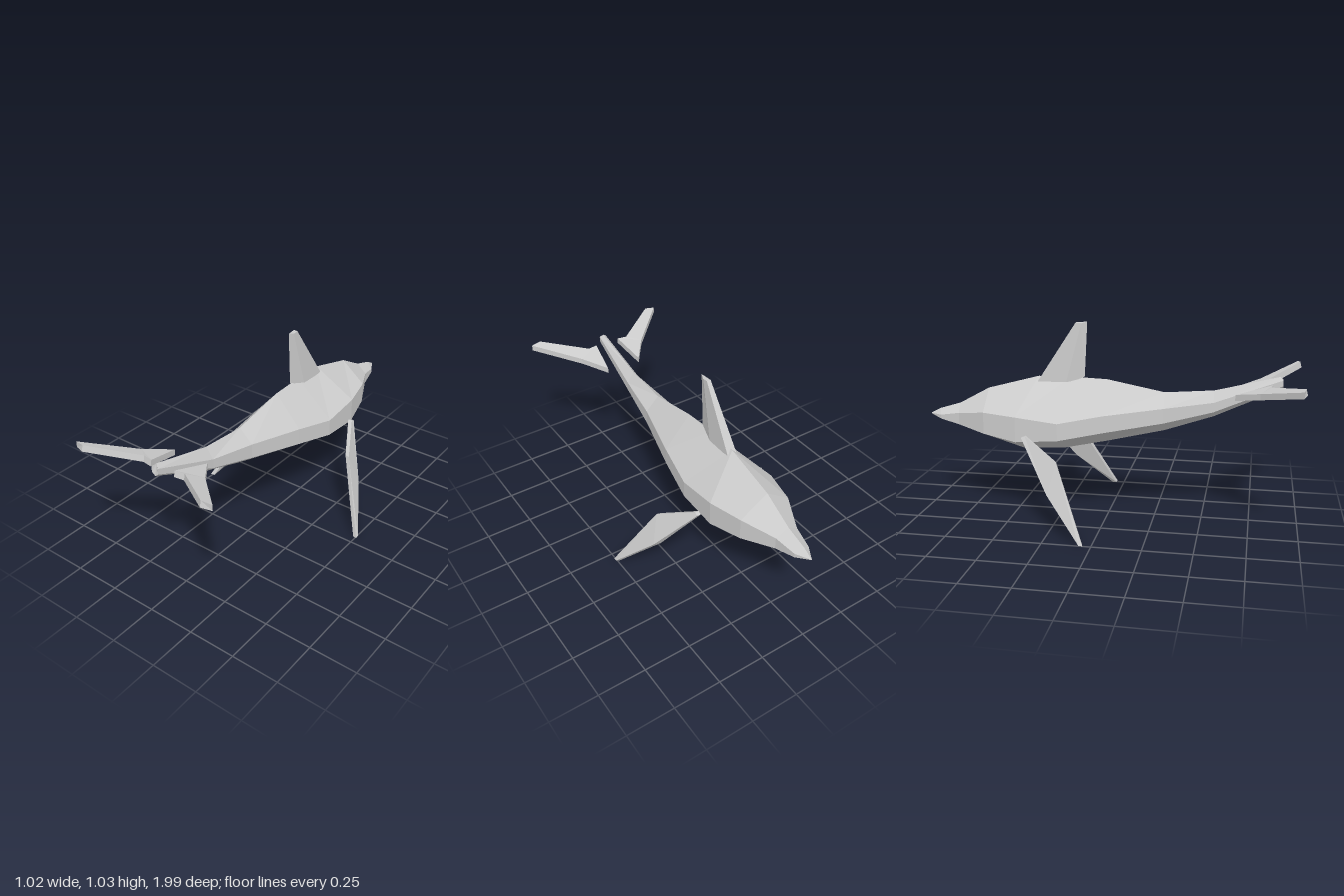
import * as THREE from 'three';

const material = new THREE.MeshStandardMaterial({ color: 0xcccccc, flatShading: true });

// Joins a row of equal-sized rings of [x, y, z] points and closes both ends.
function loft(name, rings, side = 1) {
  const n = rings[0].length;
  const points = rings.flat().map(([x, y, z]) => new THREE.Vector3(x * side, y, z));
  const faces = [];
  for (let r = 0; r < rings.length - 1; r++) {
    for (let i = 0; i < n; i++) {
      const a = r * n + i, b = r * n + (i + 1) % n;
      faces.push([a, b, b + n], [a, b + n, a + n]);
    }
  }
  const last = (rings.length - 1) * n;
  for (let i = 1; i < n - 1; i++) {
    faces.push([0, i + 1, i], [last, last + i, last + i + 1]);
  }

  // A negative enclosed volume means the faces point inward, so turn them.
  const cross = new THREE.Vector3();
  const volume = faces.reduce((sum, [a, b, c]) =>
    sum + points[a].dot(cross.crossVectors(points[b], points[c])), 0);
  if (volume < 0) faces.forEach((f) => f.reverse());

  const geometry = new THREE.BufferGeometry().setFromPoints(faces.flat().map((i) => points[i]));
  geometry.computeVertexNormals();
  const mesh = new THREE.Mesh(geometry, material);
  mesh.name = name;
  return mesh;
}

// Body stations, snout to tail: [z, z of ridge, half width, ridge y, upper side y, lower side y, keel y]
const stations = [
  [-0.995, -0.995, 0.002, 0.512, 0.51, 0.508, 0.506],
  [-0.925, -0.94, 0.042, 0.54, 0.512, 0.49, 0.482],
  [-0.815, -0.825, 0.063, 0.575, 0.532, 0.468, 0.457],
  [-0.65, -0.66, 0.143, 0.665, 0.56, 0.445, 0.39],
  [-0.465, -0.38, 0.187, 0.74, 0.553, 0.42, 0.335],
  [-0.24, -0.2, 0.188, 0.742, 0.528, 0.437, 0.35],
  [-0.01, -0.01, 0.147, 0.735, 0.57, 0.48, 0.4],
  [0.295, 0.295, 0.074, 0.677, 0.605, 0.527, 0.473],
  [0.55, 0.55, 0.04, 0.697, 0.64, 0.59, 0.56],
  [0.895, 0.88, 0.019, 0.78, 0.765, 0.735, 0.72],
];
const bodyRings = stations.map(([z, zTop, w, top, upper, lower, keel]) => [
  [0, top, zTop], [w, upper, z], [w, lower, z],
  [0, keel, z], [-w, lower, z], [-w, upper, z],
]);

// Dorsal fin: blunt leading edge, sharp trailing edge
const finRing = (w, front, middle, back) => [
  [w, ...front], [w, ...middle], [0, ...back], [-w, ...middle], [-w, ...front],
];
const dorsalRings = [
  finRing(0.026, [0.715, -0.38], [0.70, -0.23], [0.745, -0.13]),
  finRing(0.011, [1.03, -0.175], [1.027, -0.145], [1.035, -0.115]),
];

// Flipper from root to tip: trailing inner, trailing outer, leading outer, leading inner
const flipperRings = [
  [[0.208, 0.465, -0.4], [0.231, 0.467, -0.4], [0.231, 0.459, -0.42], [0.21, 0.457, -0.42]],
  [[0.312, 0.365, -0.215], [0.336, 0.367, -0.21], [0.383, 0.21, -0.25], [0.345, 0.205, -0.257]],
  [[0.487, 0.002, -0.045], [0.508, 0.004, -0.04], [0.508, 0.005, -0.06], [0.489, 0, -0.066]],
];

// Tail fluke from root to tip: a thin slab between trailing and leading edges
const slabRing = (trailing, leading) => [
  trailing, leading,
  [leading[0], leading[1] - 0.031, leading[2]],
  [trailing[0], trailing[1] - 0.031, trailing[2] + 0.008],
];
const flukeRings = [
  slabRing([0.071, 0.75, 0.843], [0.1, 0.7, 0.66]),
  slabRing([0.123, 0.749, 0.835], [0.195, 0.73, 0.783]),
  slabRing([0.353, 0.797, 0.99], [0.407, 0.792, 0.98]),
];

export function createModel() {
  const model = new THREE.Group();
  model.name = 'dolphin';
  model.add(loft('body', bodyRings), loft('dorsalFin', dorsalRings));
  for (const [label, side] of [['left', 1], ['right', -1]]) {
    model.add(loft(`${label}Flipper`, flipperRings, side));
    model.add(loft(`${label}Fluke`, flukeRings, side));
  }
  return model;
}
